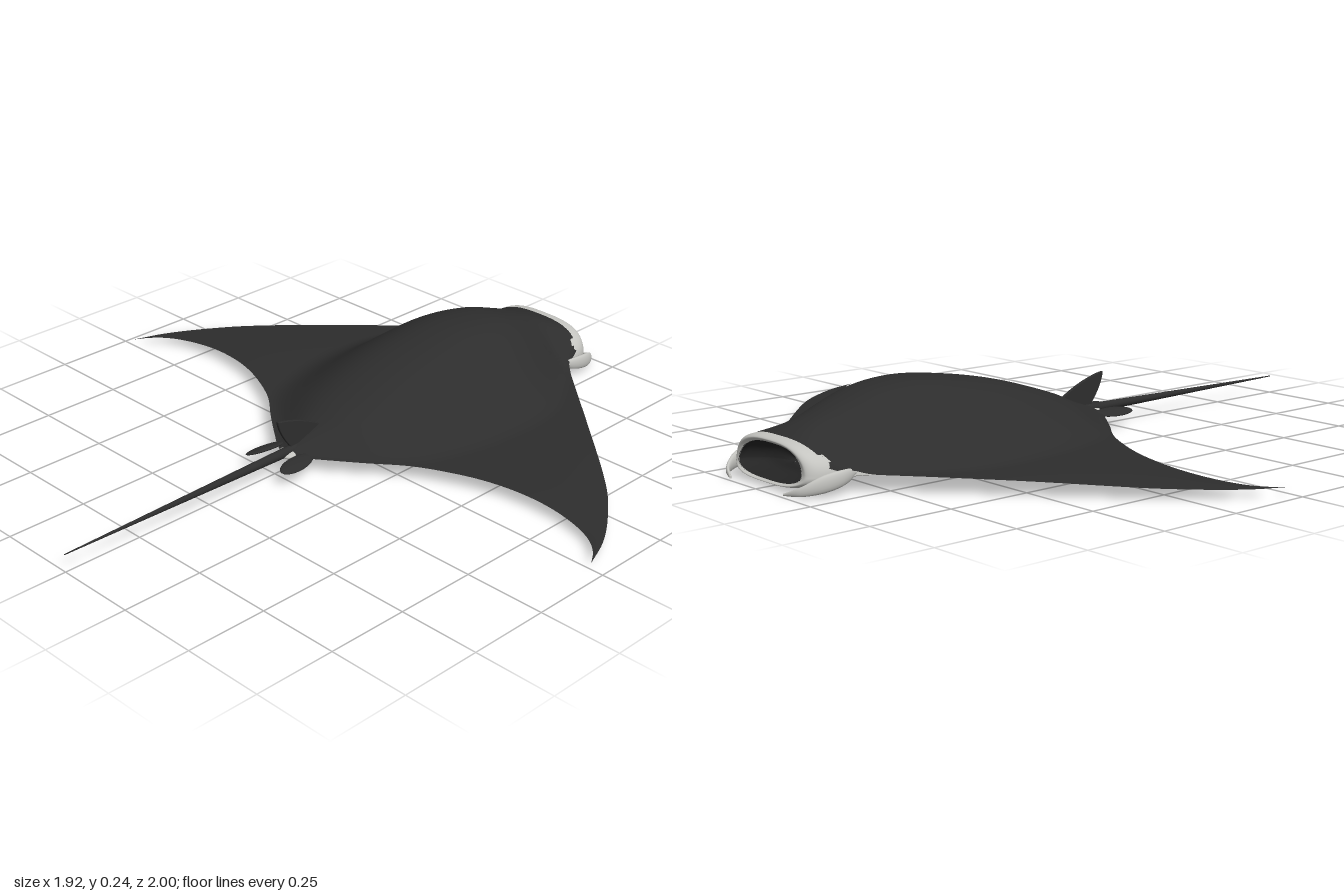
import * as THREE from 'three';
import { ParametricGeometry } from 'three/addons/geometries/ParametricGeometry.js';

const material = (name, color) => Object.assign(new THREE.MeshStandardMaterial({ color }), { name });

// Smooth function through a few [position, value] points
function profile(pts) {
  const slope = i => {
    const a = pts[Math.max(i - 1, 0)], b = pts[Math.min(i + 1, pts.length - 1)];
    return (b[1] - a[1]) / (b[0] - a[0]);
  };
  return t => {
    if (t <= pts[0][0]) return pts[0][1];
    if (t >= pts[pts.length - 1][0]) return pts[pts.length - 1][1];
    let i = 0;
    while (pts[i + 1][0] < t) i++;
    const [x0, y0] = pts[i], [x1, y1] = pts[i + 1], h = x1 - x0, s = (t - x0) / h;
    return y0 * (1 + 2 * s) * (1 - s) ** 2 + slope(i) * h * s * (1 - s) ** 2
      + y1 * s * s * (3 - 2 * s) + slope(i + 1) * h * s * s * (s - 1);
  };
}

// Planform: leading and trailing edge over the span
const SPAN = 0.959, NOSE = -0.93;
const lead = profile([[0, NOSE], [0.1, NOSE], [0.165, -0.928], [0.18, -0.9], [0.2, -0.84], [0.23, -0.805],
  [0.3, -0.74], [0.5, -0.56], [0.75, -0.33], [0.85, -0.21], [0.92, -0.1], [0.96, 0]]);
const trail = profile([[0, 0.215], [0.05, 0.19], [0.1, 0.155], [0.2, 0.08], [0.3, 0], [0.4, -0.055],
  [0.5, -0.095], [0.6, -0.118], [0.7, -0.125], [0.8, -0.113], [0.88, -0.085], [0.93, -0.045], [0.96, 0]]);
// Heights: rim over the span, back and belly along the length
const rim = profile([[0, 0.05], [0.3, 0.048], [0.6, 0.04], [0.96, 0.02]]);
const back = profile([[-0.96, 0.12], [-0.93, 0.13], [-0.85, 0.158], [-0.75, 0.193], [-0.65, 0.222], [-0.52, 0.234],
  [-0.4, 0.224], [-0.2, 0.188], [0, 0.13], [0.1, 0.09], [0.215, 0.052]]);
const belly = profile([[-0.95, 0.012], [-0.6, 0.008], [-0.35, 0.012], [0, 0.03], [0.215, 0.048]]);
const humpWidth = profile([[-0.93, 0.18], [-0.85, 0.2], [-0.75, 0.28], [-0.55, 0.39], [-0.3, 0.4], [-0.1, 0.35],
  [0, 0.29], [0.1, 0.165], [0.215, 0.01]]);

// Cross-section of the hump: round at the mouth, bell-shaped over the wings
function hump(x, z) {
  const t = Math.min(Math.abs(x) / humpWidth(z), 1);
  const k = THREE.MathUtils.smoothstep(-z, 0.78, 0.93);
  return (0.5 + 0.5 * Math.cos(Math.PI * t ** 1.25)) * (1 - k) + Math.sqrt(1 - t ** 3) * k;
}
function skinHeight(x, z, v, top) {
  const a = Math.abs(x), wing = Math.sin(Math.PI * v) * (1 - a / 0.96);
  return rim(a) + (top ? 0.008 * wing : -0.005 * wing)
    + hump(x, z) * ((top ? back(z) : belly(z)) - 0.05);
}
function skin(top) {
  return new ParametricGeometry((u, v, p) => {
    const x = SPAN * (top ? 1 - 2 * u : 2 * u - 1), a = Math.abs(x);
    const z = THREE.MathUtils.lerp(lead(a), trail(a), v);
    p.set(x, skinHeight(x, z, v, top), z);
  }, 192, 44);
}

// Ring surface round the mouth; rows are [scale, z]
function mouthRing(rows, sweep) {
  const size = profile(rows.map((r, i) => [i, r[0]])), depth = profile(rows.map((r, i) => [i, r[1]]));
  return new ParametricGeometry((u, v, p) => {
    const a = -u * Math.PI * 2, r = v * (rows.length - 1), s = size(r);
    const c = Math.cos(a), n = Math.sin(a);
    const x = 0.182 * Math.sign(c) * Math.abs(c) ** 0.7;
    const y = n * (n > 0 ? 0.081 : 0.038);
    p.set(x * s, 0.055 + (y - 0.005) * s, depth(r) + n * 0.008 + sweep * (1 - v) * c ** 4);
  }, 64, 16);
}

// Flattened horn-like fin following a curve
function headFin(side) {
  const path = new THREE.CatmullRomCurve3([[0.19, 0.052, -0.815], [0.206, 0.046, -0.87], [0.2, 0.036, -0.93],
    [0.172, 0.02, -0.975], [0.125, 0.008, -0.997]].map(([x, y, z]) => new THREE.Vector3(x * side, y, z)));
  const tall = profile([[0, 0.004], [0.15, 0.018], [0.45, 0.024], [0.75, 0.013], [1, 0.003]]);
  return new ParametricGeometry((u, v, p) => {
    const a = -u * Math.PI * 2, c = path.getPoint(v), d = path.getTangent(v), h = tall(v);
    const across = new THREE.Vector3(-d.z, 0, d.x).normalize();
    p.copy(c).addScaledVector(across, Math.cos(a) * (0.002 + h * 0.3));
    p.y = Math.max(p.y + Math.sin(a) * h, 0);
  }, 16, 28);
}

export function createModel() {
  const model = new THREE.Group();
  const dark = material('charcoal skin', 0x2d2d2d);
  const pale = material('pale underside', 0xc4c4c0);
  const inside = material('mouth interior', 0x242424);
  pale.side = THREE.DoubleSide;
  inside.side = THREE.DoubleSide;

  const add = (name, geometry, mat) => {
    const mesh = new THREE.Mesh(geometry, mat);
    mesh.name = name;
    model.add(mesh);
    return mesh;
  };

  // Body and wings
  add('upperBody', skin(true), dark);
  add('underBody', skin(false), pale);

  // Mouth
  add('lips', mouthRing([[1.02, -0.915], [1.02, -0.94], [0.98, -0.957], [0.9, -0.964], [0.8, -0.955]], 0.045), pale);
  add('mouthCavity', mouthRing([[0.81, -0.956], [0.76, -0.93], [0.5, -0.89], [0.002, -0.87]], 0), inside);

  // Head fins, rear fins and gills, mirrored
  for (const side of [1, -1]) {
    const name = side > 0 ? 'left' : 'right';
    add(name + 'HeadFin', headFin(side), pale);

    const rear = add(name + 'RearFin', new THREE.SphereGeometry(1, 20, 12), dark);
    rear.scale.set(0.027, 0.007, 0.068);
    rear.position.set(0.066 * side, 0.05, 0.225);
    rear.rotation.set(0, 0.12 * side, -0.3 * side);

    for (let i = 0; i < 5; i++) {
      const x = (0.1 + 0.028 * i) * side, z = -0.51 - 0.025 * i;
      const gill = add(name + 'Gill' + (i + 1), new THREE.SphereGeometry(1, 16, 8), pale);
      gill.scale.set(0.007, 0.006, 0.085 - 0.006 * i);
      gill.position.set(x, skinHeight(x, z, 0.4, false), z);
      gill.rotation.y = -0.4 * side;
    }
  }

  // Back fin
  const fin = new THREE.Shape();
  fin.moveTo(0.05, 0.085);
  fin.quadraticCurveTo(0.14, 0.145, 0.235, 0.162);
  fin.quadraticCurveTo(0.23, 0.12, 0.18, 0.06);
  fin.closePath();
  const finGeometry = new THREE.ExtrudeGeometry(fin, { depth: 0.004, bevelThickness: 0.003, bevelSize: 0.002, bevelSegments: 2 });
  finGeometry.translate(0, 0, -0.002).rotateY(-Math.PI / 2);
  add('backFin', finGeometry, dark);

  // Tail and the pale patch at its root
  const tail = new THREE.CylinderGeometry(0.0015, 0.016, 0.86, 16, 8);
  tail.rotateX(Math.PI / 2).translate(0, 0.055, 0.57);
  add('tail', tail, dark);
  const root = add('tailRoot', new THREE.SphereGeometry(1, 20, 12), pale);
  root.scale.set(0.036, 0.012, 0.04);
  root.position.set(0, 0.047, 0.185);
  return model;
}
